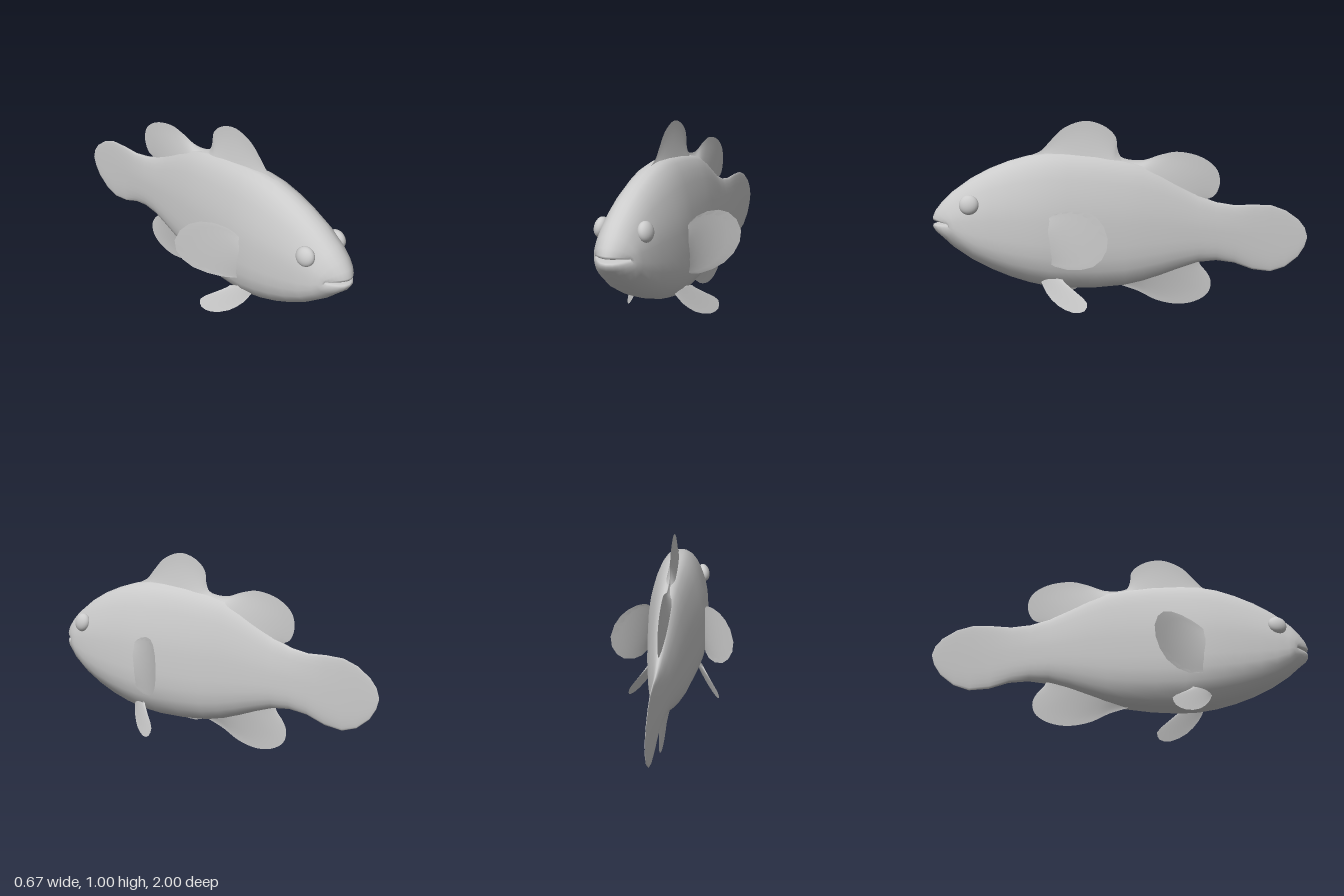
import * as THREE from 'three';

const material = new THREE.MeshStandardMaterial({ color: 0xcccccc });
const finMaterial = new THREE.MeshStandardMaterial({ color: 0xcccccc, side: THREE.DoubleSide });

// Body stations from the mouth cavity to the tail tip: z, top, bottom, half width
const STATIONS = [
  [0.92, 0.48, 0.48, 0.07], [0.985, 0.488, 0.472, 0.086], [0.998, 0.492, 0.468, 0.091],
  [1, 0.505, 0.455, 0.095], [0.985, 0.54, 0.43, 0.104], [0.95, 0.585, 0.4, 0.114],
  [0.9, 0.634, 0.353, 0.125], [0.8, 0.705, 0.283, 0.141], [0.7, 0.757, 0.228, 0.153],
  [0.6, 0.795, 0.184, 0.162], [0.5, 0.822, 0.15, 0.167], [0.4, 0.833, 0.126, 0.167],
  [0.3, 0.83, 0.114, 0.157], [0.15, 0.815, 0.111, 0.139], [0, 0.788, 0.12, 0.12],
  [-0.1, 0.762, 0.14, 0.105], [-0.2, 0.715, 0.17, 0.09], [-0.3, 0.655, 0.204, 0.073],
  [-0.4, 0.595, 0.234, 0.055], [-0.5, 0.558, 0.241, 0.039], [-0.6, 0.54, 0.225, 0.026],
  [-0.7, 0.542, 0.186, 0.016], [-0.8, 0.536, 0.172, 0.01], [-0.88, 0.506, 0.196, 0.007],
  [-0.95, 0.455, 0.25, 0.005], [-0.985, 0.41, 0.304, 0.003], [-1, 0.36, 0.355, 0.001],
];

// Half of a cross-section: share of half width, share of height
const SECTION = [
  [0, 0], [0.32, 0.008], [0.56, 0.032], [0.75, 0.085], [0.92, 0.155], [0.985, 0.25], [1, 0.35],
  [0.96, 0.52], [0.89, 0.63], [0.8, 0.72], [0.68, 0.82], [0.54, 0.9], [0.36, 0.965], [0.18, 0.995], [0, 1],
];

function gridGeometry(positions, rows, cols, closed) {
  const index = [];
  const last = closed ? cols : cols - 1;
  for (let i = 0; i < rows - 1; i++) {
    for (let j = 0; j < last; j++) {
      const k = (j + 1) % cols;
      const a = i * cols + j, b = i * cols + k, c = a + cols, d = b + cols;
      index.push(a, c, b, b, c, d);
    }
  }
  const g = new THREE.BufferGeometry();
  g.setAttribute('position', new THREE.Float32BufferAttribute(positions, 3));
  g.setIndex(index);
  g.computeVertexNormals();
  return g;
}

// Loft of body and tail; the snout wraps backwards towards the mouth corners
function bodyGeometry() {
  const mirrored = SECTION.slice(1, -1).reverse().map(([x, y]) => [-x, y]);
  const ring = [...SECTION, ...mirrored];
  const positions = [];
  for (const [z, top, bottom, w] of STATIONS) {
    const bend = 0.085 * Math.max(0, (z - 0.7) / 0.3) ** 2;
    for (const [x, y] of ring) {
      positions.push(x * w, bottom + y * (top - bottom), z - bend * x * x);
    }
  }
  return gridGeometry(positions, STATIONS.length, ring.length, true);
}

const curve = (points) =>
  new THREE.CatmullRomCurve3(points.map(([z, y]) => new THREE.Vector3(0, y, z)), false, 'centripetal');

// Fin spanned between a root line and an outer edge, thick at the root and thin at the edge.
// lean(z, y) gives the sideways position of its middle plane.
function addFin(group, name, root, edge, thickness, segments, lean) {
  const rootCurve = curve(root), edgeCurve = curve(edge), rows = 7;
  const fin = new THREE.Group();
  fin.name = name;
  for (const side of [1, -1]) {
    const positions = [];
    for (let i = 0; i < rows; i++) {
      const t = i / (rows - 1);
      for (let j = 0; j <= segments; j++) {
        const u = (side > 0 ? j : segments - j) / segments;
        const p = rootCurve.getPoint(u).lerp(edgeCurve.getPoint(u), t);
        const taper = Math.sin(Math.PI * Math.min(1, Math.max(0, u))) ** 0.5;
        const half = thickness * taper * (1 - t) ** 1.6 + 0.0005 * (1 - t);
        positions.push(lean(p.z, p.y) + side * half, p.y, p.z);
      }
    }
    const sheet = new THREE.Mesh(gridGeometry(positions, rows, segments + 1, false), finMaterial);
    sheet.name = side > 0 ? 'leftFace' : 'rightFace';
    fin.add(sheet);
  }
  group.add(fin);
}

export function createModel() {
  const model = new THREE.Group();
  model.name = 'fish';

  const body = new THREE.Mesh(bodyGeometry(), material);
  body.name = 'bodyAndTail';
  model.add(body);

  // Two-lobed fin along the back
  addFin(model, 'dorsalFin',
    [[0.5, 0.8], [0.35, 0.8], [0.2, 0.785], [0.08, 0.77], [0, 0.755], [-0.1, 0.73], [-0.2, 0.68], [-0.3, 0.62], [-0.4, 0.56]],
    [[0.5, 0.818], [0.43, 0.848], [0.38, 0.9], [0.31, 0.965], [0.2, 1], [0.1, 0.972], [0.04, 0.915], [0.03, 0.85],
      [0.01, 0.808], [-0.1, 0.79], [-0.2, 0.818], [-0.29, 0.832], [-0.42, 0.8], [-0.5, 0.735], [-0.517, 0.66],
      [-0.49, 0.595], [-0.44, 0.572]],
    0.034, 72, () => 0);

  // Fin below the tail root
  addFin(model, 'analFin',
    [[0.02, 0.14], [-0.1, 0.165], [-0.2, 0.2], [-0.3, 0.235], [-0.42, 0.265]],
    [[0.02, 0.118], [-0.08, 0.08], [-0.18, 0.028], [-0.3, 0.003], [-0.4, 0.02], [-0.46, 0.062], [-0.475, 0.12],
      [-0.45, 0.178], [-0.4, 0.225]],
    0.028, 40, () => 0);

  for (const s of [1, -1]) {
    const label = s > 0 ? 'left' : 'right';

    addFin(model, label + 'PectoralFin',
      [[0.45, 0.47], [0.46, 0.4], [0.45, 0.32]],
      [[0.435, 0.48], [0.39, 0.525], [0.32, 0.557], [0.22, 0.566], [0.15, 0.53], [0.11, 0.44], [0.128, 0.345],
        [0.19, 0.275], [0.3, 0.25], [0.39, 0.27], [0.45, 0.31]],
      0.012, 16, (z) => s * (0.145 + 0.15 * (0.45 - z) + 1.2 * (0.45 - z) ** 2));

    addFin(model, label + 'PelvicFin',
      [[0.44, 0.18], [0.39, 0.19], [0.33, 0.19]],
      [[0.44, 0.165], [0.415, 0.115], [0.36, 0.06], [0.28, 0.031], [0.225, 0.045], [0.21, 0.085], [0.26, 0.13],
        [0.33, 0.18]],
      0.01, 14, (z, y) => s * (0.115 + 0.35 * (0.17 - y) + 0.5 * (0.42 - z)));

    // Bulging eye
    const eye = new THREE.Mesh(new THREE.SphereGeometry(0.051, 24, 16), material);
    eye.name = label + 'Eye';
    eye.scale.x = 0.66;
    eye.rotation.z = s * 0.2;
    eye.rotation.y = -s * 0.15;
    eye.position.set(s * 0.114, 0.585, 0.807);
    model.add(eye);
  }
  return model;
}
